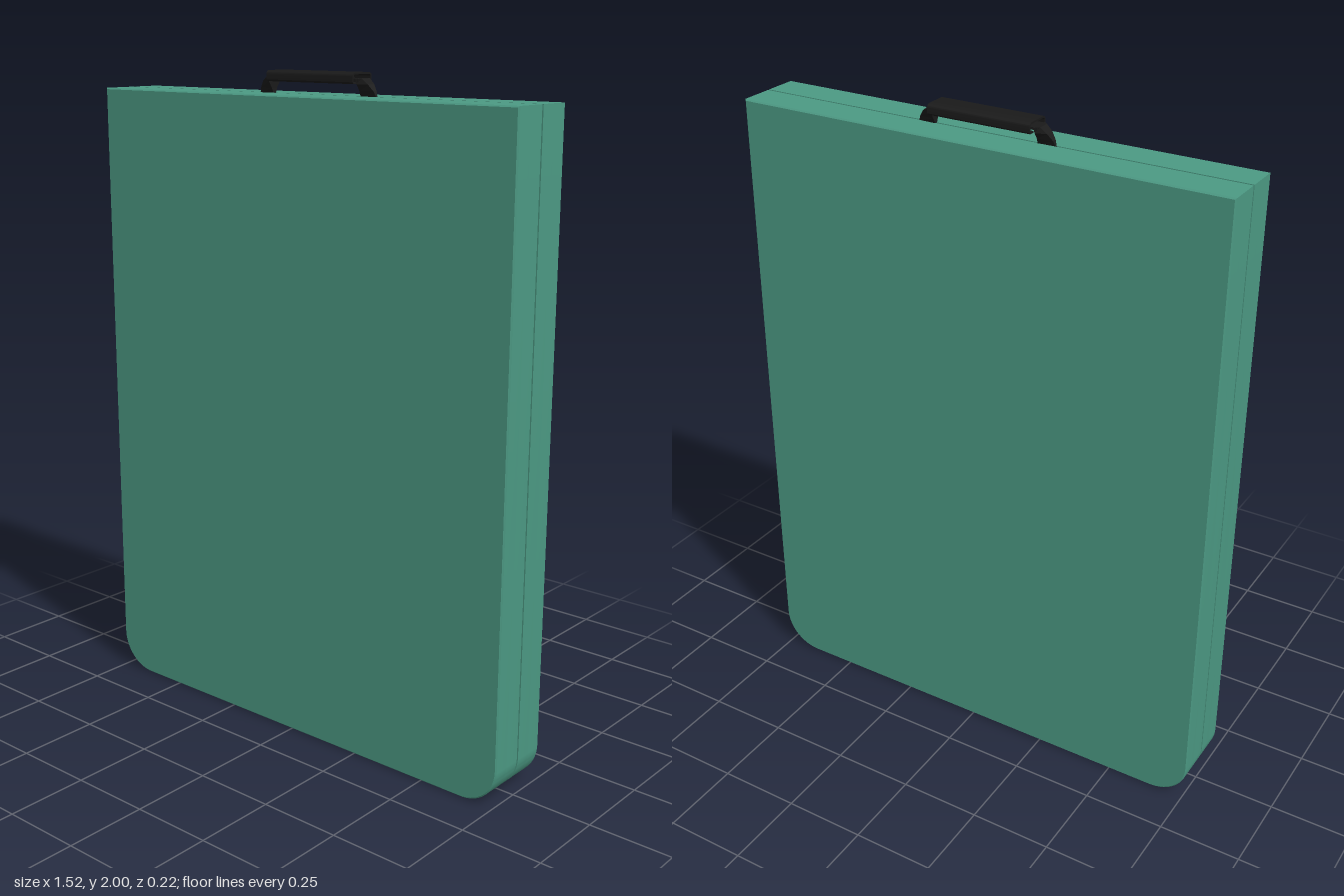
import * as THREE from 'three';
import { toCreasedNormals } from 'three/addons/utils/BufferGeometryUtils.js';

const HALF_W = 0.76, TOP = 1.935, RADIUS = 0.12, HALF_D = 0.108, GAP = 0.003;
const HANDLE_X = 0.012;

// Case outline: square at the top, rounded at the bottom, with an optional notch below
function caseOutline(notched) {
  const s = new THREE.Shape();
  s.moveTo(-HALF_W, TOP);
  s.lineTo(-HALF_W, RADIUS);
  s.absarc(-HALF_W + RADIUS, RADIUS, RADIUS, Math.PI, Math.PI * 1.5, false);
  if (notched) {
    s.lineTo(-0.12, 0);
    s.lineTo(-0.12, 0.1);
    s.lineTo(0.12, 0.1);
    s.lineTo(0.12, 0);
  }
  s.absarc(HALF_W - RADIUS, RADIUS, RADIUS, Math.PI * 1.5, Math.PI * 2, false);
  s.lineTo(HALF_W, TOP);
  s.closePath();
  return s;
}

// Skin lofted through closed four-point sections, capped at both ends
function loft(sections) {
  const pos = sections.flat(2), idx = [];
  for (let i = 0; i < sections.length - 1; i++) {
    for (let j = 0; j < 4; j++) {
      const a = i * 4 + j, b = i * 4 + (j + 1) % 4;
      idx.push(a, b, b + 4, a, b + 4, a + 4);
    }
  }
  const t = (sections.length - 1) * 4;
  idx.push(0, 2, 1, 0, 3, 2, t, t + 1, t + 2, t, t + 2, t + 3);
  const g = new THREE.BufferGeometry();
  g.setAttribute('position', new THREE.Float32BufferAttribute(pos, 3));
  g.setIndex(idx);
  const flat = g.toNonIndexed();
  flat.computeVertexNormals();
  return flat;
}

export function createModel() {
  const model = new THREE.Group();
  model.name = 'carryCase';
  const green = new THREE.MeshStandardMaterial({ color: 0x4c9a84 });
  const black = new THREE.MeshStandardMaterial({ color: 0x1a1a1a, side: THREE.DoubleSide });
  const navy = new THREE.MeshStandardMaterial({ color: 0x1c2450 });

  const add = (parent, name, geometry, material) => {
    const mesh = new THREE.Mesh(geometry, material);
    mesh.name = name;
    parent.add(mesh);
    return mesh;
  };

  // Two mirrored shells: a notched inner layer and a bevelled outer layer
  const bevel = 0.004, split = 0.055;
  const inner = new THREE.ExtrudeGeometry(caseOutline(true), {
    depth: split - GAP, bevelEnabled: false, curveSegments: 12,
  }).translate(0, 0, GAP);
  const outer = new THREE.ExtrudeGeometry(caseOutline(false), {
    depth: HALF_D - split - bevel, bevelEnabled: true, bevelSegments: 1,
    bevelSize: bevel, bevelThickness: bevel, bevelOffset: -bevel, curveSegments: 12,
  }).translate(0, 0, split);
  for (const [name, turn] of [['frontShell', 0], ['backShell', Math.PI]]) {
    const shell = new THREE.Group();
    shell.name = name;
    shell.rotation.y = turn;
    add(shell, name + 'Rim', toCreasedNormals(inner, 0.5), green);
    add(shell, name + 'Cover', toCreasedNormals(outer, 0.5), green);
    model.add(shell);
  }

  // Dark divider that shows in the seam
  add(model, 'divider', new THREE.BoxGeometry(1.18, 1.72, GAP * 2), navy).position.y = 1.06;

  const handle = new THREE.Group();
  handle.name = 'handle';
  handle.position.x = HANDLE_X;
  model.add(handle);

  // Grip: a channel with a rounded top and lips turned in below
  const w = 0.042, t = 0.005, r = 0.012;
  const grip = new THREE.Shape();
  grip.moveTo(-0.022, 1.969);
  grip.lineTo(-w + 0.005, 1.969);
  grip.lineTo(-w, 1.974);
  grip.lineTo(-w, 2 - r);
  grip.absarc(-w + r, 2 - r, r, Math.PI, Math.PI / 2, true);
  grip.absarc(w - r, 2 - r, r, Math.PI / 2, 0, true);
  grip.lineTo(w, 1.974);
  grip.lineTo(w - 0.005, 1.969);
  grip.lineTo(0.022, 1.969);
  grip.lineTo(0.022, 1.969 + t);
  grip.lineTo(w - t, 1.969 + t);
  grip.lineTo(w - t, 2 - r);
  grip.absarc(w - r, 2 - r, r - t, 0, Math.PI / 2, false);
  grip.absarc(-w + r, 2 - r, r - t, Math.PI / 2, Math.PI, false);
  grip.lineTo(-w + t, 1.969 + t);
  grip.lineTo(-0.022, 1.969 + t);
  grip.closePath();
  const gripGeo = new THREE.ExtrudeGeometry(grip, { depth: 0.32, bevelEnabled: false, curveSegments: 5 });
  gripGeo.translate(0, 0, -0.16).rotateY(Math.PI / 2);
  add(handle, 'grip', toCreasedNormals(gripGeo, 0.6), black).position.z = -0.004;

  // Strap core running through the grip
  add(handle, 'strapCore', new THREE.BoxGeometry(0.34, 0.007, 0.05), black).position.y = 1.98;

  // Strap ends: wide across x at the case, twisting to wide across z at the grip
  const levels = [
    [1.93, 0.162, 0.217, 0.003],
    [1.95, 0.163, 0.209, 0.012],
    [1.968, 0.163, 0.195, 0.024],
    [1.984, 0.162, 0.176, 0.03],
  ];
  const strapGeo = loft(levels.map(([y, x0, x1, z]) =>
    [[x0, y, -z], [x0, y, z], [x1, y, z * 0.6], [x1, y, -z * 0.6]]));
  for (const [name, turn] of [['leftStrapEnd', 0], ['rightStrapEnd', Math.PI]]) {
    add(handle, name, strapGeo, black).rotation.y = turn;
  }

  return model;
}
